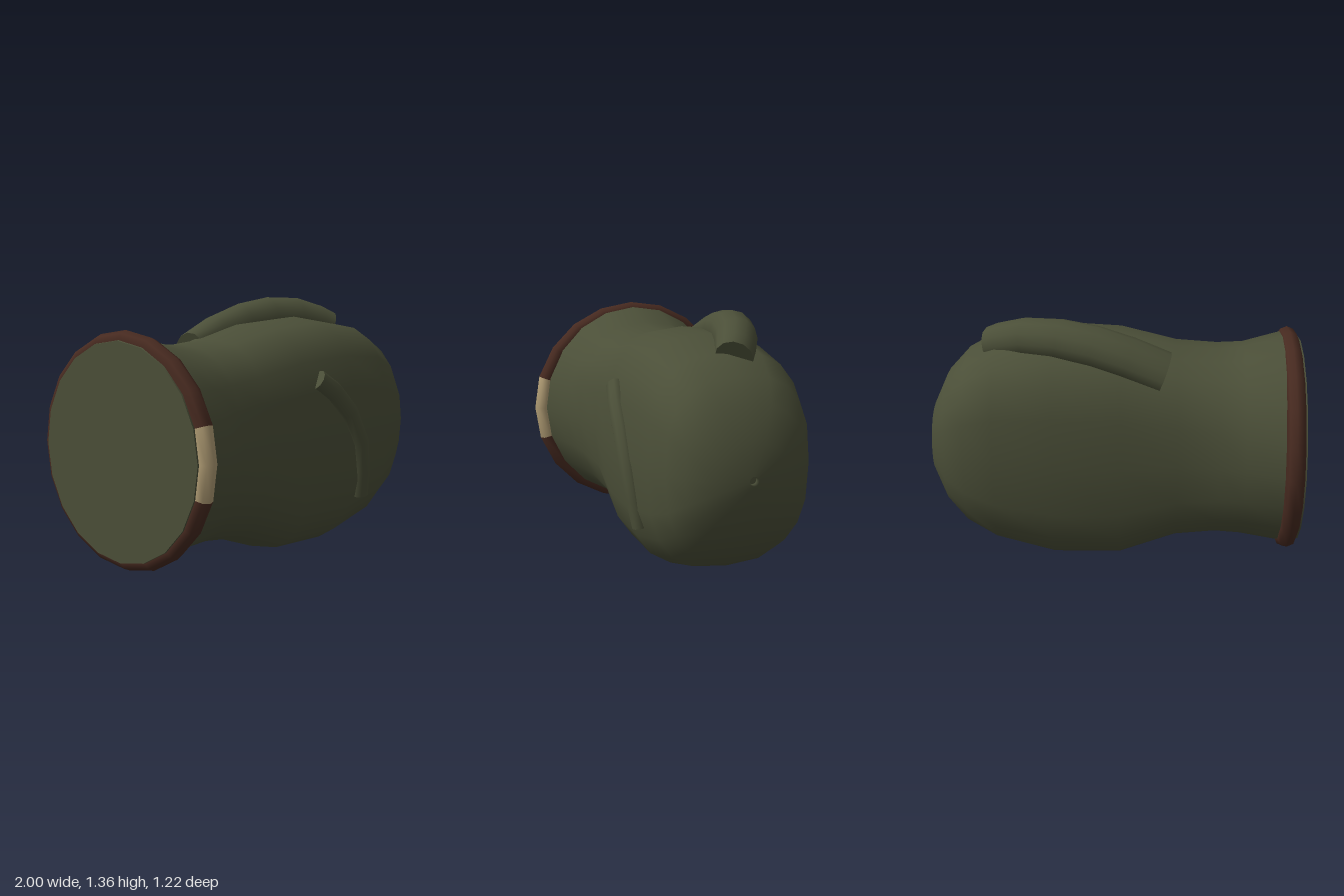
import * as THREE from 'three';

const olive = new THREE.MeshStandardMaterial({ color: 0x4b4f38 });
olive.name = 'olive cloth';
const brown = new THREE.MeshStandardMaterial({ color: 0x472a20 });
brown.name = 'brown leather';
const beige = new THREE.MeshStandardMaterial({ color: 0xb09c74 });
beige.name = 'beige band';

// Skins a list of closed rings (each running counter-clockwise about the path) and caps both ends.
function loft(rings) {
  const pos = [], idx = [], n = rings[0].length, last = rings.length - 1;
  rings.forEach(r => r.forEach(p => pos.push(p.x, p.y, p.z)));
  for (let i = 0; i < last; i++) {
    for (let j = 0; j < n; j++) {
      const k = (j + 1) % n;
      const a = i * n + j, b = i * n + k, c = b + n, d = a + n;
      idx.push(a, b, c, a, c, d);
    }
  }
  for (const end of [0, last]) {
    const base = pos.length / 3;
    const mid = new THREE.Vector3();
    rings[end].forEach(p => { pos.push(p.x, p.y, p.z); mid.addScaledVector(p, 1 / n); });
    pos.push(mid.x, mid.y, mid.z);
    for (let j = 0; j < n; j++) {
      const k = (j + 1) % n;
      if (end === 0) idx.push(base + n, base + k, base + j);
      else idx.push(base + n, base + j, base + k);
    }
  }
  const g = new THREE.BufferGeometry();
  g.setAttribute('position', new THREE.Float32BufferAttribute(pos, 3));
  g.setIndex(idx);
  g.computeVertexNormals();
  return g;
}

const bend = (v, n) => Math.sign(v) * Math.abs(v) ** (2 / n);

// Superellipse ring across the sack at one x station.
function bodyRing([x, bottom, top, halfZ, n]) {
  const ring = [];
  for (let j = 0; j < 20; j++) {
    const t = j / 20 * Math.PI * 2;
    ring.push(new THREE.Vector3(
      x,
      (top + bottom) / 2 + (top - bottom) / 2 * bend(Math.cos(t), n),
      halfZ * bend(Math.sin(t), n)));
  }
  return ring;
}

// Flattened tube along points; each row is x, y, z, half width, half height.
function strap(rows, outward, sides) {
  const pts = rows.map(r => new THREE.Vector3(r[0], r[1], r[2]));
  const rings = rows.map((r, i) => {
    const T = pts[Math.min(i + 1, pts.length - 1)].clone().sub(pts[Math.max(i - 1, 0)]).normalize();
    const U = outward.clone().addScaledVector(T, -outward.dot(T)).normalize();
    const V = T.clone().cross(U);
    return Array.from({ length: sides }, (_, j) => {
      const t = j / sides * Math.PI * 2;
      return pts[i].clone()
        .addScaledVector(U, Math.cos(t) * r[4])
        .addScaledVector(V, Math.sin(t) * r[3]);
    });
  });
  return loft(rings);
}

export function createModel() {
  const group = new THREE.Group();
  const add = (name, geometry, material) => {
    const mesh = new THREE.Mesh(geometry, material);
    mesh.name = name;
    group.add(mesh);
    return mesh;
  };

  // Sack body: x, bottom, top, half depth, squareness; ends in a small dimple
  add('body', loft([
    [-1.0, 0.08, 1.2, 0.555, 2],
    [-0.9, 0.07, 1.225, 0.55, 2],
    [-0.7, 0.11, 1.165, 0.475, 2.2],
    [-0.56, 0.125, 1.155, 0.44, 2.4],
    [-0.34, 0.105, 1.17, 0.41, 2.6],
    [-0.04, 0.005, 1.24, 0.435, 2.8],
    [0.32, 0.005, 1.26, 0.447, 2.8],
    [0.63, 0.09, 1.21, 0.425, 2.8],
    [0.79, 0.185, 1.12, 0.385, 2.7],
    [0.9, 0.31, 1.0, 0.325, 2.5],
    [0.975, 0.46, 0.83, 0.2, 2.2],
    [1.0, 0.615, 0.665, 0.025, 2],
    [0.97, 0.62, 0.66, 0.02, 2],
  ].map(bodyRing)), olive);

  // Rolled rim, with a two-segment band on the front
  const step = Math.PI / 10;
  const rimArc = (segments, start) => new THREE.TorusGeometry(0.558, 0.05, 8, segments, segments * step)
    .rotateZ(start * step).rotateY(-Math.PI / 2).translate(-0.942, 0.642, 0);
  add('rim', rimArc(18, 1), brown);
  add('rimBand', rimArc(2, -1), beige);

  // Broad padded strap along the top
  add('topStrap', strap([
    [-0.27, 1.10, -0.23, 0.125, 0.09],
    [-0.08, 1.175, -0.225, 0.125, 0.1],
    [0.1, 1.225, -0.2, 0.122, 0.11],
    [0.28, 1.25, -0.165, 0.118, 0.115],
    [0.46, 1.245, -0.115, 0.112, 0.112],
    [0.59, 1.21, -0.06, 0.105, 0.1],
    [0.65, 1.185, -0.03, 0.1, 0.09],
  ], new THREE.Vector3(0, 0.87, -0.5), 12), olive);

  // Narrow curved strap on the front
  add('frontStrap', strap([
    [0.045, 0.955, 0.41, 0.056, 0.045],
    [0.15, 0.885, 0.43, 0.055, 0.05],
    [0.27, 0.765, 0.44, 0.055, 0.05],
    [0.37, 0.59, 0.438, 0.053, 0.05],
    [0.41, 0.42, 0.42, 0.052, 0.045],
    [0.427, 0.28, 0.4, 0.05, 0.04],
  ], new THREE.Vector3(0, 0, 1), 10), olive);

  return group;
}
